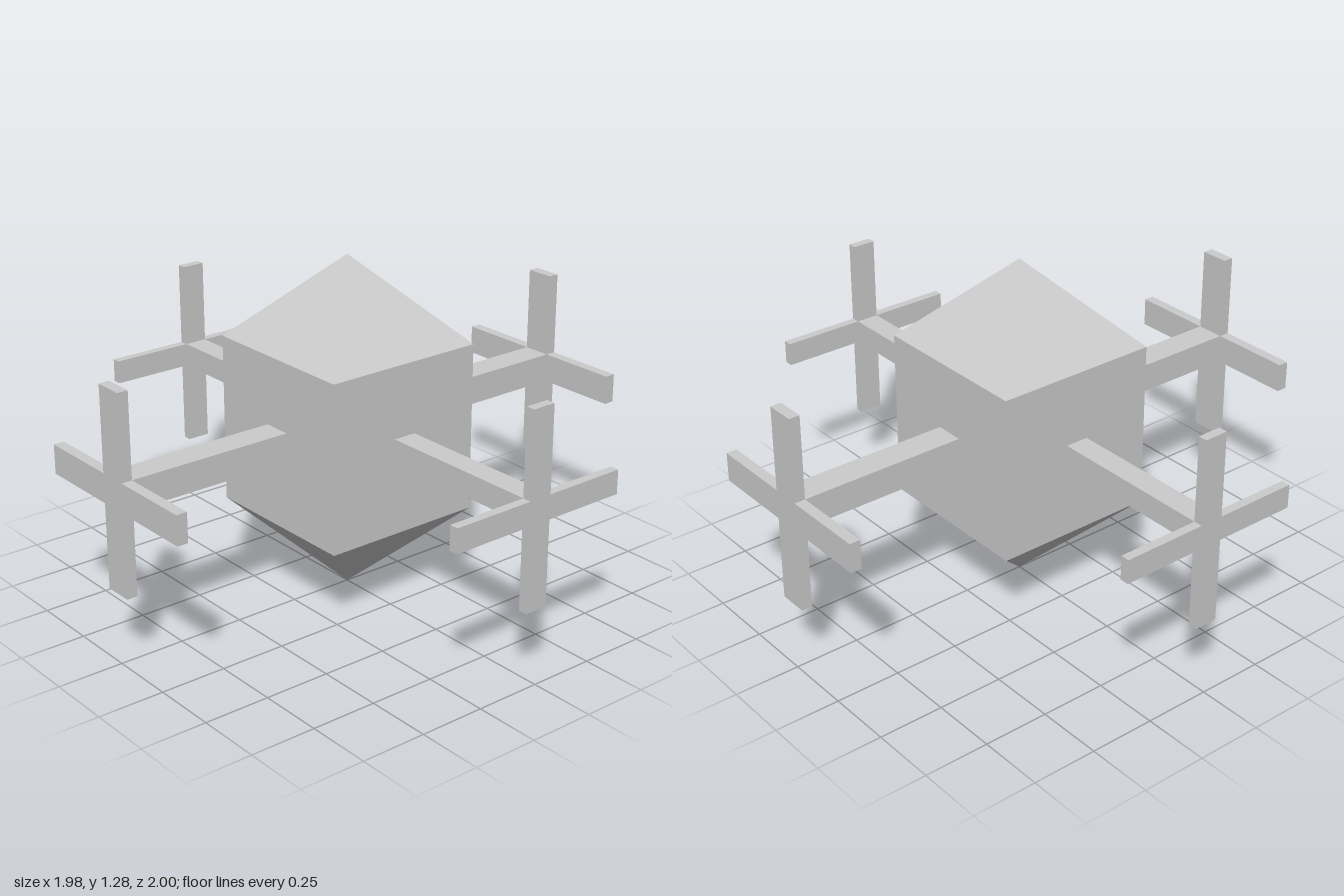
import * as THREE from 'three';

const HALF = 0.318;   // half width of the cubic body
const MID = 0.638;    // height of the body's centre

export function createModel() {
  const model = new THREE.Group();
  const material = new THREE.MeshStandardMaterial({ color: 0xcccccc, flatShading: true });

  function add(parent, name, geometry, x, y, z) {
    const mesh = new THREE.Mesh(geometry, material);
    mesh.name = name;
    mesh.position.set(x, y, z);
    parent.add(mesh);
    return mesh;
  }

  // Cubic body with a pyramid on top and another beneath
  add(model, 'body', new THREE.BoxGeometry(HALF * 2, HALF * 2, HALF * 2), 0, MID, 0);
  for (const side of [1, -1]) {
    const pyramid = new THREE.ConeGeometry(HALF * Math.SQRT2, 0.32, 4, 1, true);
    pyramid.rotateY(Math.PI / 4);
    if (side < 0) pyramid.rotateX(Math.PI);
    add(model, side > 0 ? 'topPyramid' : 'bottomPyramid', pyramid, 0, MID + side * (HALF + 0.16), 0);
  }

  // Flat plus-shaped plate, reach r and half bar width w
  function crossGeometry(r, w, depth) {
    const corners = [[r, -w], [r, w], [w, w], [w, r], [-w, r], [-w, w],
      [-r, w], [-r, -w], [-w, -w], [-w, -r], [w, -r], [w, -w]];
    const shape = new THREE.Shape(corners.map(([x, y]) => new THREE.Vector2(x, y)));
    return new THREE.ExtrudeGeometry(shape, { depth, bevelEnabled: false });
  }

  // Four arms, each ending in a cross; the side pair is slightly slimmer
  ['front', 'left', 'back', 'right'].forEach((name, i) => {
    const slim = i % 2 === 1;
    const tip = slim ? 0.99 : 1;
    const w = slim ? 0.045 : 0.055;
    const reach = slim ? 0.364 : 0.373;
    const thick = slim ? 0.034 : 0.041;
    const arm = new THREE.Group();
    arm.name = name + 'Arm';
    const length = tip - thick - HALF;
    add(arm, name + 'Beam', new THREE.BoxGeometry(w * 2, w * 2, length), 0, 0, HALF + length / 2);
    add(arm, name + 'Cross', crossGeometry(reach, w, thick), 0, 0, tip - thick);
    arm.position.y = MID + 0.003;
    arm.rotation.y = i * Math.PI / 2;
    model.add(arm);
  });

  return model;
}
